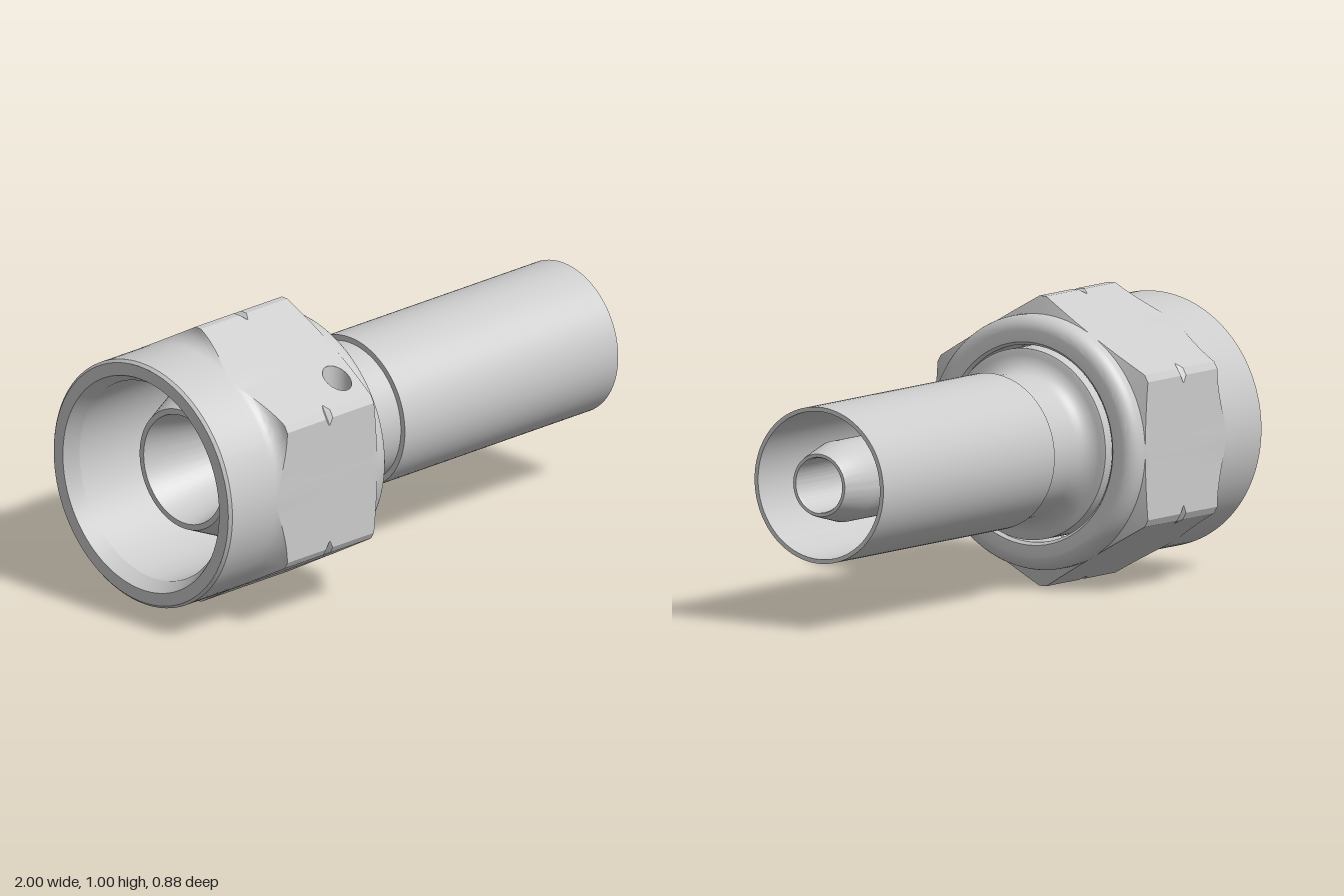
import * as THREE from 'three';
import { toCreasedNormals } from 'three/addons/utils/BufferGeometryUtils.js';

const grey = new THREE.MeshStandardMaterial({ color: 0xcccccc, side: THREE.DoubleSide });
const FLAT = 0.44, CORNER = 0.5; // hex apothem and truncated corner radius
const HOLE = { x: -0.39, t: -0.128, r: 0.05, face: 1 };

function addMesh(group, name, geometry) {
  const mesh = new THREE.Mesh(geometry, grey);
  mesh.name = name;
  group.add(mesh);
}

// Turned part about the x axis from [x, radius] pairs (increasing x = outer side)
function turned(profile) {
  const pts = profile.map(([x, r]) => new THREE.Vector2(r, x));
  return toCreasedNormals(new THREE.LatheGeometry(pts, 96).rotateZ(-Math.PI / 2), 0.4);
}

// Quarter arc as [x, radius] pairs
function arc(cx, cr, rad, a0, a1, n = 8) {
  return Array.from({ length: n + 1 }, (_, i) => {
    const a = a0 + (a1 - a0) * i / n;
    return [cx + rad * Math.cos(a), cr + rad * Math.sin(a)];
  });
}

// [x, radius] stations along the nut where the hexagon has radius R
function nutStations(R) {
  R = Math.max(R, FLAT + 0.0005);
  const s = [[-1, 0.43], [-0.99, FLAT], [-0.79, FLAT]];
  // concave run-out from collar up to the hexagon
  for (let j = 1; j <= 8; j++) {
    const r = FLAT + (Math.min(R, CORNER) - FLAT) * (j / 8) ** 2;
    s.push([-0.79 + Math.sqrt(Math.max(0, 0.0036 - (0.5 - r) ** 2)), j === 8 ? R : r]);
  }
  // marking groove that only bites into the corners
  const w = 0.002 + 0.013 * Math.max(0, (R - 0.488) / 0.012);
  s.push([-0.53 - w, R], [-0.53, Math.min(R, 0.488)], [-0.53 + w, R]);
  s.push([-0.45, R], [-0.33, R]);
  // end chamfer, round collar, end face
  s.push([-0.305 - 0.015 * (R - FLAT) / 0.06, R], [-0.304, FLAT]);
  s.push(...arc(-0.29, 0.39, 0.05, Math.PI / 2, 0));
  s.push([-0.24, 0.35]);
  return s;
}

function nutOuter() {
  const half = [0.03, 0.06, 0.09, 0.12, 0.15, 0.18, 0.2, 0.211, 0.225, 0.238];
  const ts = [...half.map(t => -t).reverse(), 0, ...half];
  const pos = [], index = [];
  const cols = 6 * ts.length, rows = nutStations(FLAT).length;
  for (let f = 0; f < 6; f++) {
    for (const t of ts) {
      const a = f * Math.PI / 3 + Math.atan2(t, FLAT);
      for (const [x, r] of nutStations(Math.hypot(t, FLAT))) pos.push(x, r * Math.sin(a), r * Math.cos(a));
    }
  }
  const holeRow = 15 - 1; // cells from x = -0.45 to x = -0.33
  for (let c = 0; c < cols; c++) {
    const f = Math.floor(c / ts.length), t = ts[c % ts.length];
    for (let j = 0; j < rows - 1; j++) {
      // leave a window for the drilled patch
      if (f === HOLE.face && j === holeRow && t > -0.201 && t < -0.061) continue;
      const a = c * rows + j, d = ((c + 1) % cols) * rows + j;
      index.push(a, a + 1, d + 1, a, d + 1, d);
    }
  }
  const g = new THREE.BufferGeometry();
  g.setAttribute('position', new THREE.Float32BufferAttribute(pos, 3));
  g.setIndex(index);
  return toCreasedNormals(g, 0.35);
}

// Piece of the flat around the drilled hole
function holePatch() {
  const s = new THREE.Shape();
  s.moveTo(-0.45, -0.2).lineTo(-0.33, -0.2).lineTo(-0.33, -0.06).lineTo(-0.45, -0.06).closePath();
  const h = new THREE.Path();
  h.absellipse(HOLE.x, HOLE.t, HOLE.r, HOLE.r / Math.cos(Math.PI / 6), 0, Math.PI * 2, true);
  s.holes.push(h);
  return new THREE.ShapeGeometry(s, 32).translate(0, 0, FLAT).rotateX(-Math.PI / 3);
}

export function createModel() {
  const root = new THREE.Group();
  root.name = 'hoseFitting';
  root.position.y = 0.5;

  // Swivel nut
  const nut = new THREE.Group();
  nut.name = 'swivelNut';
  root.add(nut);
  addMesh(nut, 'nutBody', nutOuter());
  addMesh(nut, 'nutBore', turned([
    [-0.24, 0.35], [-0.25, 0.34], [-0.42, 0.34], [-0.43, 0.355], [-0.95, 0.355], [-1, 0.385], [-1, 0.43],
  ]));
  addMesh(nut, 'holeSurround', holePatch());

  // Vertical blind hole, its rim trimmed to the sloping flat
  const zc = FLAT * 0.5 - HOLE.t * Math.sqrt(0.75), floor = 0.21;
  const wall = new THREE.CylinderGeometry(HOLE.r, HOLE.r, 1, 32, 1, true).translate(HOLE.x, 0, zc);
  const p = wall.attributes.position;
  for (let i = 0; i < p.count; i++) {
    p.setY(i, p.getY(i) > 0 ? (FLAT - 0.5 * p.getZ(i)) / Math.sqrt(0.75) : floor);
  }
  // normals face into the hole
  const n = wall.attributes.normal;
  for (let i = 0; i < n.count; i++) n.setXYZ(i, -n.getX(i), 0, -n.getZ(i));
  const idx = wall.index.array;
  for (let i = 0; i < idx.length; i += 3) [idx[i], idx[i + 1]] = [idx[i + 1], idx[i]];
  addMesh(nut, 'holeWall', wall);
  addMesh(nut, 'holeFloor', new THREE.CircleGeometry(HOLE.r, 32).rotateX(-Math.PI / 2).translate(HOLE.x, floor, zc));

  // Stem: sealing nose, flange, neck, hose sleeve and inner nipple in one turned loop
  addMesh(root, 'stem', turned([
    [-0.8, 0.195], [-0.8, 0.215], [-0.56, 0.32], [-0.55, 0.33], [-0.225, 0.33], [-0.222, 0.32],
    ...arc(-0.152, 0.32, 0.07, Math.PI, Math.PI * 1.5),
    [-0.01, 0.25], [-0.01, 0.27], [1, 0.27],
    [1, 0.255], [0.06, 0.25], [0.0, 0.21], [0.0, 0.14],
    [0.88, 0.14], [0.99, 0.112], [1, 0.108], [1, 0.097],
    [0.99, 0.093], [-0.35, 0.093], [-0.8, 0.195],
  ]));
  return root;
}
